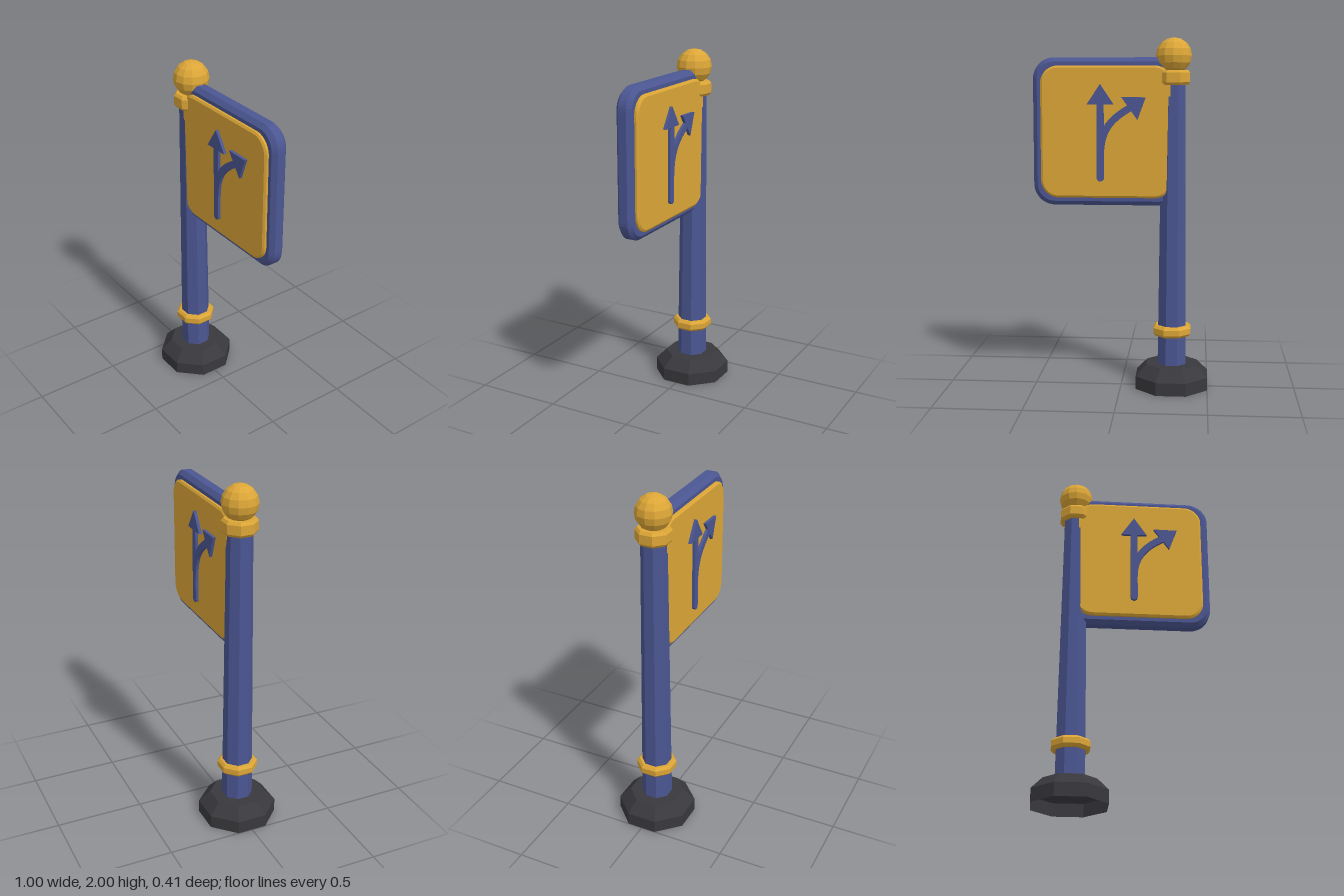
import * as THREE from 'three';

const POST_X = -0.295;
const SIGN_X = 0.08, SIGN_Y = 1.475;

const material = (name, color, side = THREE.FrontSide) => {
  const m = new THREE.MeshStandardMaterial({ color, side });
  m.name = name;
  return m;
};

// Split shared vertices so every facet is flat
function faceted(geometry) {
  const g = geometry.index ? geometry.toNonIndexed() : geometry;
  g.computeVertexNormals();
  return g;
}

// Eight-sided turned part with flats facing the axes; profile = [apothem, y]
function octagonal(profile) {
  const k = 1 / Math.cos(Math.PI / 8);
  const points = profile.map(([r, y]) => new THREE.Vector2(r * k, y));
  return faceted(new THREE.LatheGeometry(points, 8, Math.PI / 8));
}

function roundedSquare(half, r) {
  const s = new THREE.Shape(), c = half - r;
  s.absarc(c, c, r, 0, Math.PI / 2);
  s.absarc(-c, c, r, Math.PI / 2, Math.PI);
  s.absarc(-c, -c, r, Math.PI, Math.PI * 1.5);
  s.absarc(c, -c, r, Math.PI * 1.5, Math.PI * 2);
  s.closePath();
  return s;
}

// Bevelled plate of the full outer half size, spanning z0..z1
function plate(half, radius, z0, z1, bevel, bevelDepth) {
  const g = new THREE.ExtrudeGeometry(roundedSquare(half - bevel, radius - bevel), {
    depth: z1 - z0 - 2 * bevelDepth, bevelEnabled: true, bevelSegments: 1,
    bevelSize: bevel, bevelThickness: bevelDepth, curveSegments: 5,
  });
  return g.translate(0, 0, z0 + bevelDepth);
}

const polygon = (pts) => new THREE.Shape(pts.map(([x, y]) => new THREE.Vector2(x, y)));

export function createModel() {
  const model = new THREE.Group();
  model.name = 'roadSign';

  const blue = material('blue paint', 0x4b5692, THREE.DoubleSide);
  const gold = material('golden yellow', 0xdca637);
  const dark = material('dark iron', 0x39383d, THREE.DoubleSide);

  const add = (parent, name, geometry, mat) => {
    const mesh = new THREE.Mesh(geometry, mat);
    mesh.name = name;
    parent.add(mesh);
    return mesh;
  };

  // Post: hollow foot, tapered pole, two trims and a ball
  const post = new THREE.Group();
  post.name = 'post';
  post.position.x = POST_X;
  model.add(post);
  add(post, 'base', octagonal([[0.205, 0], [0.205, 0.075], [0.145, 0.14], [0.07, 0.14]]), dark);
  add(post, 'pole', octagonal([[0.081, 0.1], [0.065, 1.78]]), blue);
  add(post, 'lowerRing', octagonal([
    [0.07, 0.305], [0.093, 0.305], [0.106, 0.32], [0.106, 0.352], [0.093, 0.367], [0.07, 0.367],
  ]), gold);
  add(post, 'topCollar', octagonal([
    [0.05, 1.738], [0.08, 1.738], [0.091, 1.753], [0.091, 1.805], [0.08, 1.82], [0.0001, 1.82],
  ]), gold);
  const ball = add(post, 'ballFinial', faceted(new THREE.SphereGeometry(0.1, 12, 8)), gold);
  ball.position.y = 1.9;

  // Board with the same face on both sides
  const sign = new THREE.Group();
  sign.name = 'sign';
  sign.position.set(SIGN_X, SIGN_Y, 0);
  model.add(sign);
  add(sign, 'boardFrame', plate(0.415, 0.12, -0.046, 0.046, 0.024, 0.022), blue);

  // Arrow outlines, relative to the board centre
  const stem = new THREE.Shape();
  stem.moveTo(-0.012, 0.16);
  stem.lineTo(-0.052, 0.16);
  stem.lineTo(-0.052, -0.255);
  stem.absarc(-0.032, -0.255, 0.02, Math.PI, Math.PI * 2);
  stem.closePath();
  const straightHead = polygon([[-0.107, 0.155], [0.043, 0.155], [-0.032, 0.268]]);
  const branchHead = polygon([[0.086, 0.197], [0.176, 0.07], [0.222, 0.195]]);

  // Curved branch: a path offset to both sides
  const path = new THREE.CubicBezierCurve(
    new THREE.Vector2(-0.032, -0.13), new THREE.Vector2(-0.03, 0.02),
    new THREE.Vector2(0.03, 0.075), new THREE.Vector2(0.138, 0.139));
  const right = [], left = [];
  for (let i = 0; i <= 8; i++) {
    const p = path.getPoint(i / 8), t = path.getTangent(i / 8);
    right.push([p.x + t.y * 0.02, p.y - t.x * 0.02]);
    left.unshift([p.x - t.y * 0.02, p.y + t.x * 0.02]);
  }
  const branch = polygon([...right, ...left]);

  const raised = (shape, top) => new THREE.ExtrudeGeometry(shape, {
    depth: top - 0.06, bevelEnabled: false, curveSegments: 6,
  }).translate(0, 0, 0.06);

  for (const side of ['front', 'back']) {
    const face = new THREE.Group();
    face.name = side + 'Face';
    if (side === 'back') face.rotation.y = Math.PI;
    sign.add(face);
    add(face, 'panel', plate(0.37, 0.1, 0.03, 0.066, 0.012, 0.008), gold);
    add(face, 'straightArrowStem', raised(stem, 0.083), blue);
    add(face, 'straightArrowHead', raised(straightHead, 0.0832), blue);
    add(face, 'branchArrowStem', raised(branch, 0.0826), blue);
    add(face, 'branchArrowHead', raised(branchHead, 0.0832), blue);
  }
  return model;
}
